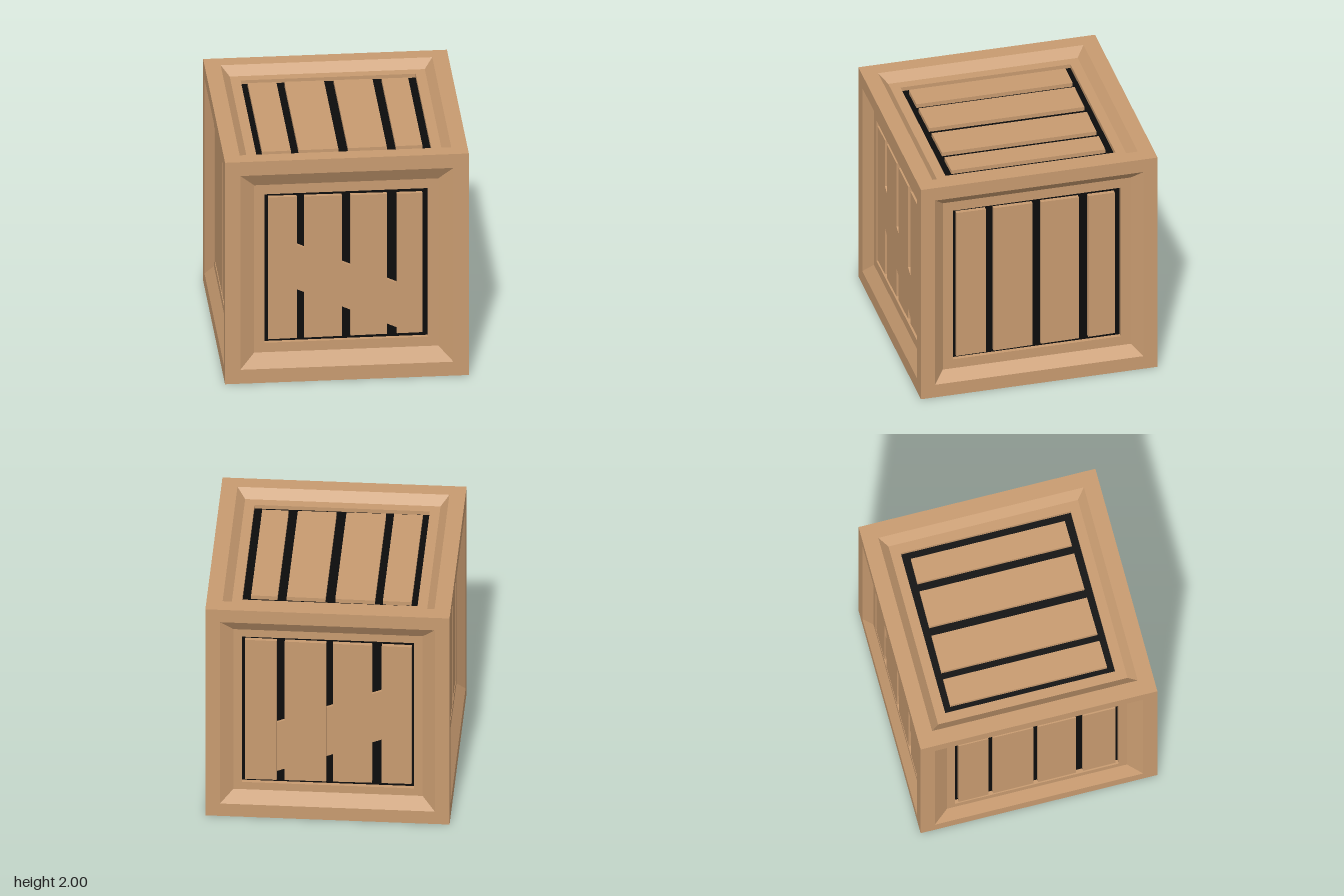
import * as THREE from 'three';

const wood = new THREE.MeshStandardMaterial({ color: 0xc89b70, flatShading: true });
const dark = new THREE.MeshStandardMaterial({ color: 0x0c0c0c, flatShading: true });
const GAP = 0.035; // depth of the slots between planks

// Each side: bevel from outer to inner, sunk by depth; opening half-width;
// planks as [left, right] spans, with half-length end; optional diagonal brace
const sides = [
  { name: 'front', rot: [0, 0], outer: 0.875, inner: 0.755, depth: 0.067, open: 0.67, end: 0.64,
    planks: [[-0.64, -0.405], [-0.345, -0.035], [0.035, 0.335], [0.415, 0.625]],
    brace: { mid: -0.185, half: 0.2, slope: -0.46, sink: 0 } },
  { name: 'back', rot: [0, Math.PI], outer: 0.88, inner: 0.775, depth: 0.067, open: 0.705, end: 0.675,
    planks: [[-0.68, -0.42], [-0.355, -0.015], [0.04, 0.36], [0.44, 0.685]],
    brace: { mid: -0.19, half: 0.235, slope: 0.4, sink: 0.01 } },
  { name: 'right', rot: [0, Math.PI / 2], outer: 0.88, inner: 0.795, depth: 0.08, open: 0.71, end: 0.683,
    planks: [[-0.68, -0.43], [-0.365, -0.035], [0.035, 0.355], [0.435, 0.66]] },
  { name: 'left', rot: [0, -Math.PI / 2], outer: 0.88, inner: 0.76, depth: 0.067, open: 0.69, end: 0.665,
    planks: [[-0.66, -0.41], [-0.37, -0.03], [0.01, 0.33], [0.39, 0.665]] },
  { name: 'top', rot: [-Math.PI / 2, 0], outer: 0.868, inner: 0.8, depth: 0.073, open: 0.718, end: 0.662,
    planks: [[-0.665, -0.43], [-0.365, -0.04], [0.04, 0.358], [0.433, 0.65]] },
  { name: 'bottom', rot: [Math.PI / 2, 0], outer: 0.87, inner: 0.78, depth: 0.08 },
];

// Square stepped frame: a four-sided lathe, profile given as [half-width, height]
function squareFrame(profile) {
  const pts = profile.map(([w, h]) => new THREE.Vector2(w * Math.SQRT2, h));
  return new THREE.LatheGeometry(pts, 4, Math.PI / 4).rotateX(Math.PI / 2);
}

// Board with four corners in the plane of the side, from z = back to z = front
function board(name, corners, back, front) {
  const shape = new THREE.Shape(corners.map(([x, y]) => new THREE.Vector2(x, y)));
  const geo = new THREE.ExtrudeGeometry(shape, { depth: front - back, bevelEnabled: false });
  const mesh = new THREE.Mesh(geo.translate(0, 0, back), wood);
  mesh.name = name;
  return mesh;
}

function buildSide({ name, rot, outer, inner, depth, open, end, planks, brace }) {
  const side = new THREE.Group();
  side.name = name + 'Side';
  const face = 1 - depth, floor = face - GAP;

  // Outer rim, bevel and sunken border, closed at the centre if there is no opening
  const profile = [[1, 1], [outer, 1], [inner, face]];
  if (planks) profile.push([open, face], [open, floor]);
  else profile.push([0, face]);
  const frame = new THREE.Mesh(squareFrame(profile), wood);
  frame.name = name + 'Frame';
  side.add(frame);

  if (planks) {
    // Dark backing seen through the slots
    const backing = new THREE.Mesh(new THREE.PlaneGeometry(open * 2, open * 2), dark);
    backing.position.z = floor;
    backing.name = name + 'Backing';
    side.add(backing);

    // Planks with slightly slanted ends
    for (const [l, r] of planks) {
      const endL = end - (l + 0.65) * 0.009, endR = end - (r + 0.65) * 0.009;
      side.add(board(name + 'Plank', [[l, -endL], [r, -endR], [r, endR], [l, endL]], floor, face));
    }
  }

  // Diagonal brace showing between neighbouring planks
  if (brace) {
    const { mid, half, slope, sink } = brace;
    for (let i = 0; i < planks.length - 1; i++) {
      const l = planks[i][1], r = planks[i + 1][0];
      const yl = mid + slope * l, yr = mid + slope * r;
      side.add(board(name + 'Brace',
        [[l, yl - half], [r, yr - half], [r, yr + half], [l, yl + half]], floor, face - sink));
    }
  }

  side.rotation.set(rot[0], rot[1], 0);
  side.position.y = 1;
  return side;
}

export function createModel() {
  const crate = new THREE.Group();
  crate.name = 'crate';
  sides.forEach((s) => crate.add(buildSide(s)));
  return crate;
}
